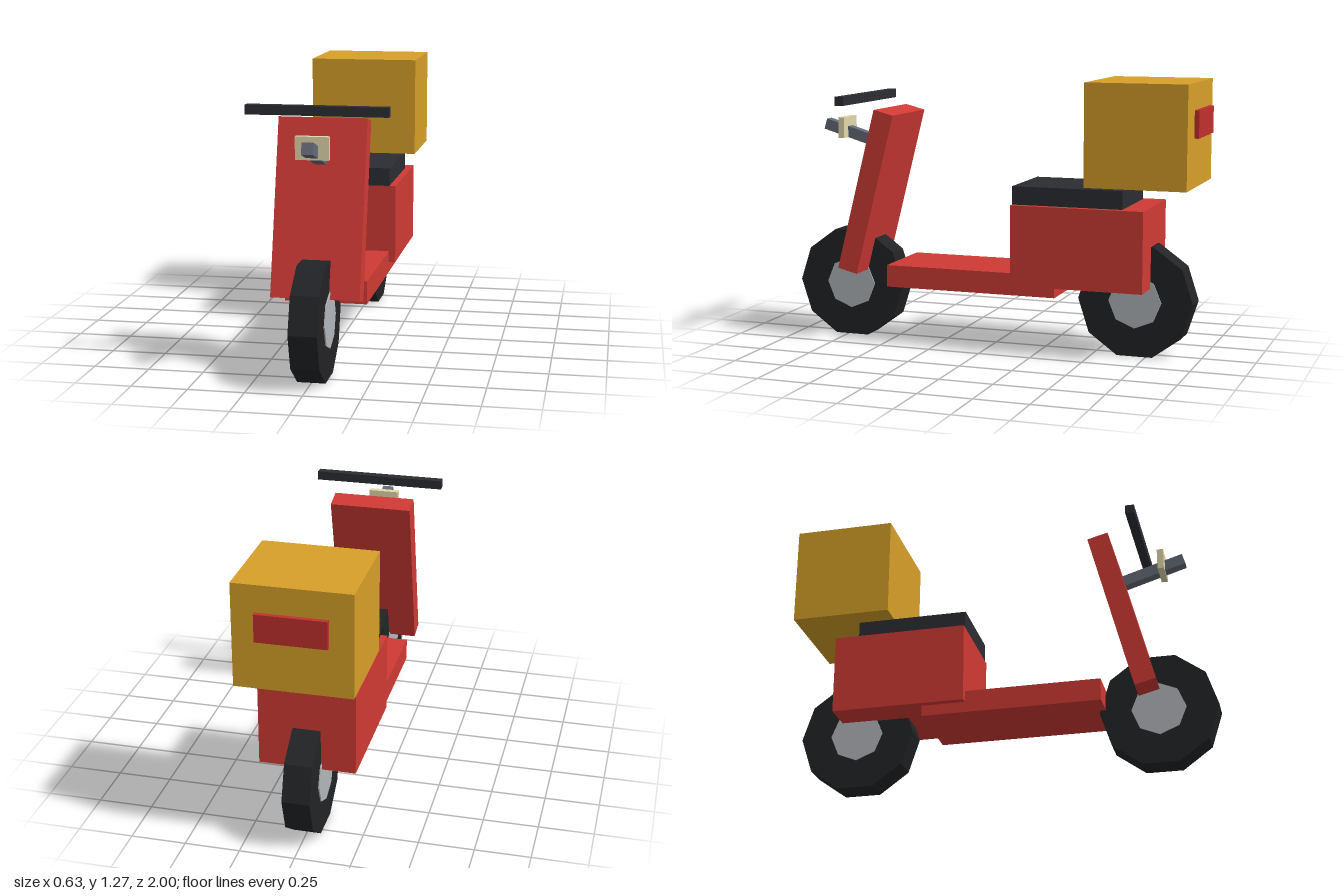
import * as THREE from 'three';

const material = (color) => new THREE.MeshStandardMaterial({ color, flatShading: true });

export function createModel() {
  const model = new THREE.Group();
  model.name = 'scooter';

  const red = material(0xd03a34);
  const dark = material(0x2b2d33);
  const tyreBlack = material(0x222326);
  const hubGrey = material(0xb2b6ba);
  const stalkGrey = material(0x646b78);
  const cream = material(0xe2d8ac);
  const yellow = material(0xd69f28);
  const lampRed = material(0xc0302e);

  // Box centred on x = 0, given its size, centre height, centre depth and tilt
  function box(name, mat, [w, h, d], y, z, tilt = 0) {
    const mesh = new THREE.Mesh(new THREE.BoxGeometry(w, h, d), mat);
    mesh.name = name;
    mesh.position.set(0, y, z);
    mesh.rotation.x = tilt;
    model.add(mesh);
  }

  // Disc with its axle along x
  function disc(name, mat, radius, width, sides) {
    const geometry = new THREE.CylinderGeometry(radius, radius, width, sides).rotateZ(Math.PI / 2);
    const mesh = new THREE.Mesh(geometry, mat);
    mesh.name = name;
    return mesh;
  }

  // Wheels: ten-sided tyre with an eight-sided hub standing slightly proud
  for (const [name, z] of [['frontWheel', 0.73], ['rearWheel', -0.697]]) {
    const wheel = new THREE.Group();
    wheel.name = name;
    wheel.position.set(0, 0.258, z);
    wheel.add(disc('tyre', tyreBlack, 0.271, 0.125, 10), disc('hub', hubGrey, 0.125, 0.136, 8));
    model.add(wheel);
  }

  // Body
  box('footboard', red, [0.374, 0.104, 0.835], 0.326, 0.07);
  box('rearBody', red, [0.438, 0.375, 0.626], 0.512, -0.456);
  box('seat', dark, [0.376, 0.085, 0.522], 0.742, -0.404);
  box('legShield', red, [0.394, 0.79, 0.1], 0.722, 0.592, -0.25);

  // Steering and headlamp
  box('handlebar', dark, [0.626, 0.042, 0.042], 1.162, 0.667);
  box('lampStalk', stalkGrey, [0.052, 0.052, 0.3], 0.986, 0.731, -0.29);
  box('headlamp', cream, [0.146, 0.1, 0.03], 1.016, 0.77);

  // Delivery box and tail lamp
  box('cargoBox', yellow, [0.52, 0.47, 0.468], 1.036, -0.738);
  box('tailLamp', lampRed, [0.312, 0.125, 0.021], 1.09, -0.99);

  return model;
}
